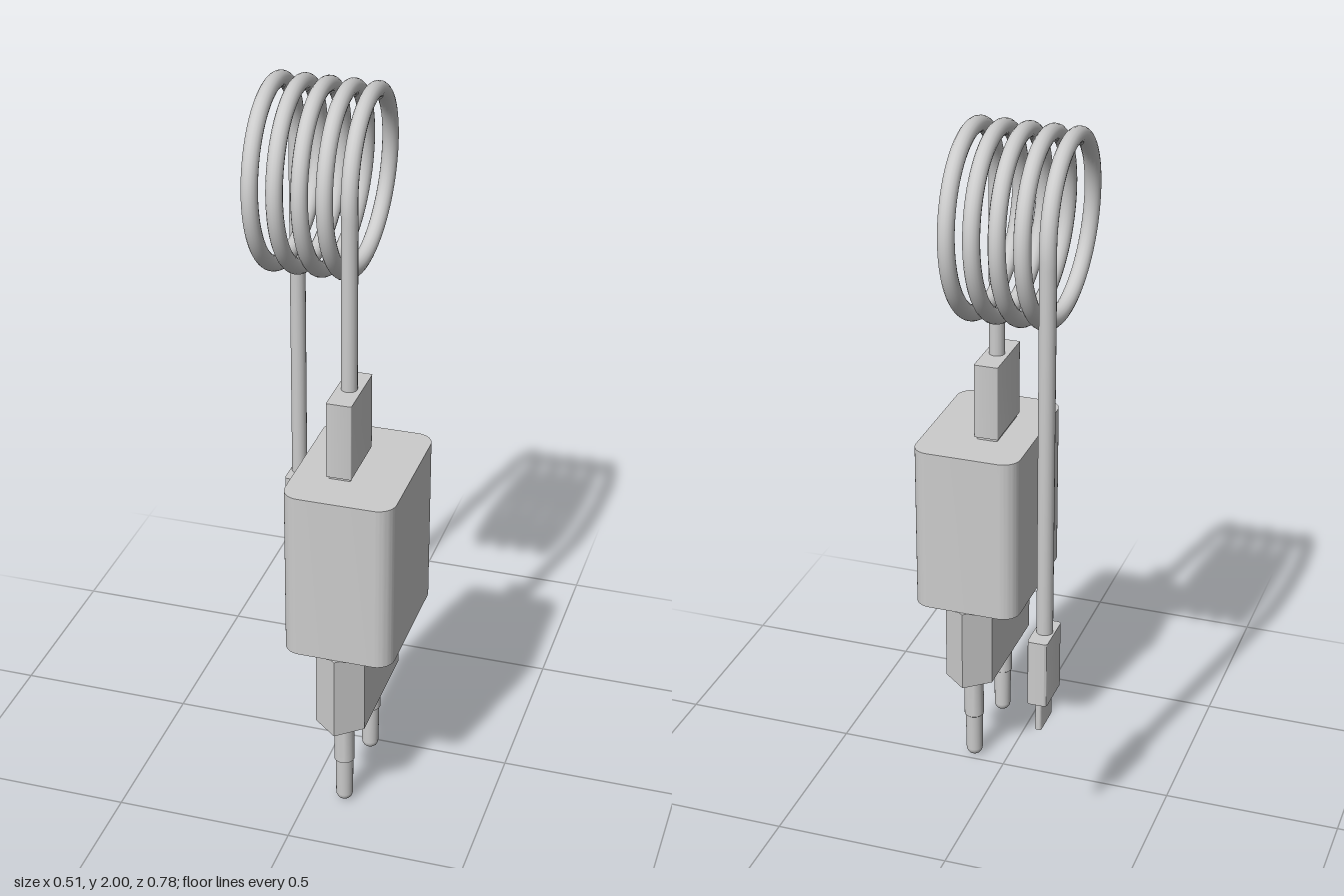
import * as THREE from 'three';
import { toCreasedNormals } from 'three/addons/utils/BufferGeometryUtils.js';

const material = new THREE.MeshStandardMaterial({ color: 0xcccccc });

function addMesh(parent, name, geometry) {
  const mesh = new THREE.Mesh(geometry, material);
  mesh.name = name;
  parent.add(mesh);
  return mesh;
}

// Upright block: a flat outline (x, z) raised from y0 to y1
function raise(shape, y0, y1) {
  const geometry = new THREE.ExtrudeGeometry(shape, { depth: y1 - y0, bevelEnabled: false, curveSegments: 8 });
  geometry.rotateX(-Math.PI / 2).translate(0, y0, 0);
  return toCreasedNormals(geometry, 0.6);
}

function roundedRect(w, d, r) {
  const s = new THREE.Shape();
  const x = w / 2 - r, y = d / 2 - r;
  s.absarc(x, y, r, 0, Math.PI / 2);
  s.absarc(-x, y, r, Math.PI / 2, Math.PI);
  s.absarc(-x, -y, r, Math.PI, Math.PI * 1.5);
  s.absarc(x, -y, r, Math.PI * 1.5, Math.PI * 2);
  s.closePath();
  return s;
}

// Cable centreline: straight rise, 4.5 coils, straight drop
class CablePath extends THREE.Curve {
  constructor() {
    super();
    this.start = new THREE.Vector3(0.073, 1.23, 0.162);
    this.radius = 0.2435;
    this.turns = 4.5;
    this.pitch = 0.067;
    this.coilY = 1.738;
    this.endY = 0.67;
  }
  getPoint(t, target = new THREE.Vector3()) {
    const { start, radius, turns, pitch, coilY, endY } = this;
    const rise = coilY - start.y;
    const coil = turns * Math.PI * 2 * radius;
    const drop = coilY - endY;
    const s = t * (rise + coil + drop);
    const turn = THREE.MathUtils.clamp((s - rise) / coil, 0, 1) * turns;
    const a = turn * Math.PI * 2;
    const below = Math.max(rise - s, s - rise - coil, 0);
    return target.set(
      start.x - turn * pitch,
      coilY + Math.sin(a) * radius - below,
      start.z - radius + Math.cos(a) * radius
    );
  }
}

export function createModel() {
  const model = new THREE.Group();
  model.name = 'wallChargerWithCable';

  // Charger
  const charger = new THREE.Group();
  charger.name = 'charger';
  charger.position.set(0.1, 0, 0.16);
  model.add(charger);
  addMesh(charger, 'chargerBody', raise(roundedRect(0.308, 0.438, 0.05), 0.53, 1.02));

  // Six-sided plug base
  const hexagon = new THREE.Shape([
    [0.07, -0.172], [0.07, 0.172], [0, 0.23], [-0.07, 0.172], [-0.07, -0.172], [0, -0.23]
  ].map(([x, y]) => new THREE.Vector2(x, y)));
  addMesh(charger, 'plugBase', raise(hexagon, 0.285, 0.53));

  // Round pins with a sleeve above and a domed tip
  const profile = [];
  for (let i = 0; i <= 6; i++) {
    const a = (i / 6) * Math.PI / 2;
    profile.push(new THREE.Vector2(0.024 * Math.sin(a), 0.024 * (1 - Math.cos(a))));
  }
  profile.push(new THREE.Vector2(0.025, 0.14));
  const sleeve = [[0.025, 0.14], [0.0285, 0.143], [0.0285, 0.295]].map(([x, y]) => new THREE.Vector2(x, y));
  for (const side of [1, -1]) {
    const pin = new THREE.Group();
    pin.name = side > 0 ? 'frontPin' : 'backPin';
    pin.position.z = side * 0.128;
    pin.rotation.x = side * 0.014;
    charger.add(pin);
    addMesh(pin, 'pinTip', new THREE.LatheGeometry(profile, 24));
    addMesh(pin, 'pinSleeve', toCreasedNormals(new THREE.LatheGeometry(sleeve, 24), 0.6));
  }

  // Cable plug seated in the charger
  const largePlug = new THREE.Group();
  largePlug.name = 'largePlug';
  largePlug.position.set(0.073, 0, 0.162);
  model.add(largePlug);
  addMesh(largePlug, 'largePlugGrip', raise(roundedRect(0.07, 0.195, 0.003), 1.03, 1.25));
  addMesh(largePlug, 'largePlugShell', raise(roundedRect(0.06, 0.175, 0.003), 1.0, 1.03));

  // Coiled cable
  addMesh(model, 'cable', new THREE.TubeGeometry(new CablePath(), 480, 0.0225, 16, false));

  // Free end of the cable
  const smallPlug = new THREE.Group();
  smallPlug.name = 'smallPlug';
  smallPlug.position.set(-0.228, 0, -0.328);
  model.add(smallPlug);
  addMesh(smallPlug, 'smallPlugGrip', raise(roundedRect(0.056, 0.128, 0.01), 0.492, 0.685));
  addMesh(smallPlug, 'smallPlugTip', raise(roundedRect(0.018, 0.1, 0.006), 0.405, 0.495));

  return model;
}
